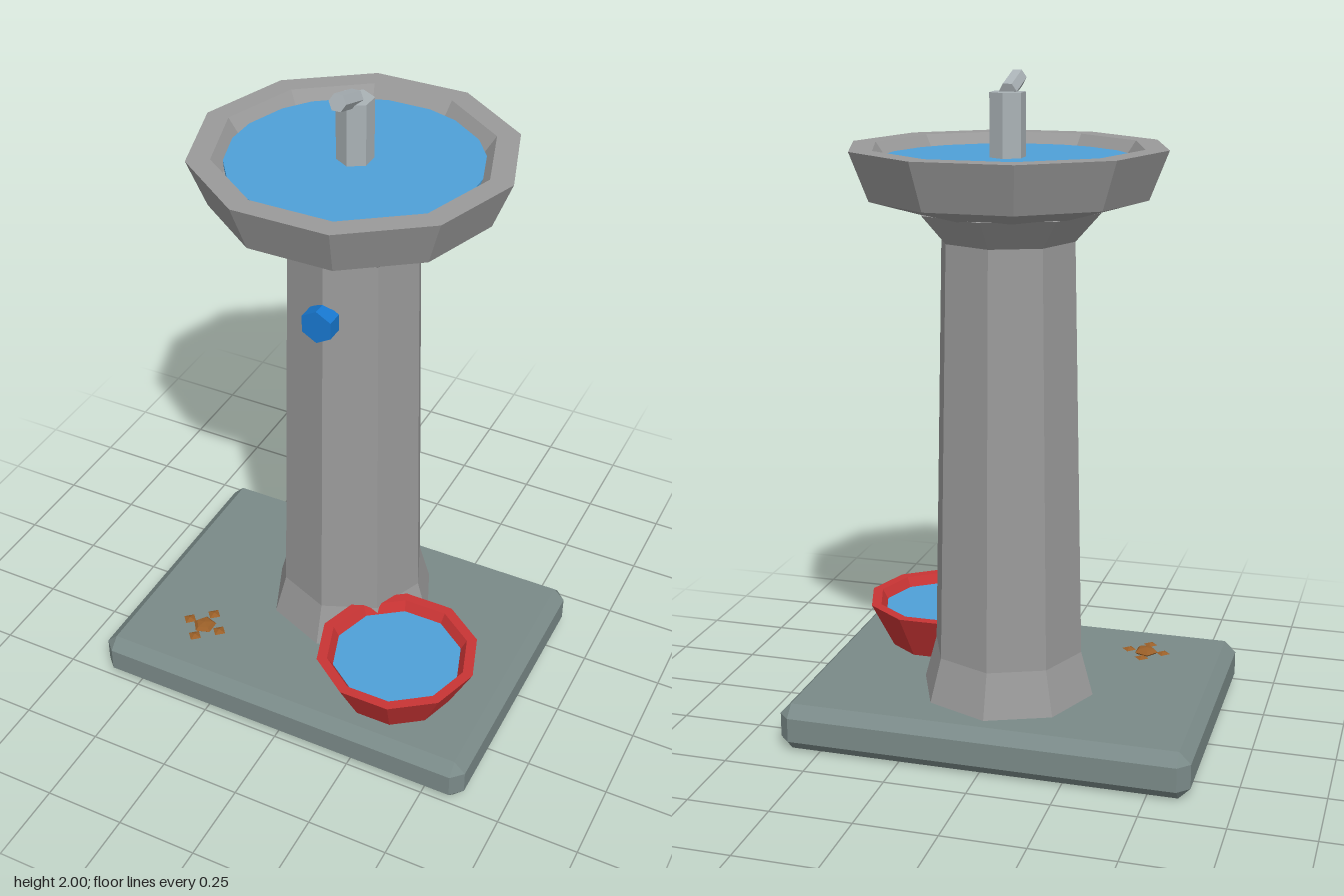
import * as THREE from 'three';
import { ConvexGeometry } from 'three/addons/geometries/ConvexGeometry.js';

const mat = (color) => new THREE.MeshStandardMaterial({ color, flatShading: true });
const stone = mat(0x9a9a9a), slab = mat(0x7a8a88), red = mat(0xc83434), water = mat(0x4fa0d8);
const blue = mat(0x1878d0), metal = mat(0xaab2b6), brown = mat(0x9a5f28);

export function createModel() {
  const group = new THREE.Group();
  const cz = -0.057; // axis of the pillar

  const add = (name, geometry, material, x, y, z) => {
    const mesh = new THREE.Mesh(geometry, material);
    mesh.name = name;
    mesh.position.set(x, y, z);
    group.add(mesh);
    return mesh;
  };
  // Faceted turned shape with a corner on the x axis
  const turned = (profile, sides) =>
    new THREE.LatheGeometry(profile.map(([r, y]) => new THREE.Vector2(r, y)), sides).rotateY(Math.PI / 2);

  // Base slab with every edge chamfered
  const hx = 0.625, hy = 0.0725, hz = 0.45, c = 0.035, corners = [];
  for (const sx of [-1, 1]) for (const sy of [-1, 1]) for (const sz of [-1, 1])
    for (const [a, b, d] of [[0, c, c], [c, 0, c], [c, c, 0]])
      corners.push(new THREE.Vector3(sx * (hx - a), sy * (hy - b), sz * (hz - d)));
  add('baseSlab', new ConvexGeometry(corners), slab, 0, hy, 0.05);

  // Eight-sided pillar with flared foot and capital
  add('pillar', turned([[0, 0.14], [0.267, 0.145], [0.23, 0.28], [0.2, 1.53], [0.275, 1.615], [0, 1.62]], 8),
    stone, 0, 0, cz);

  // Ten-sided basin and its water
  add('basin', turned([[0, 1.6], [0.22, 1.6], [0.41, 1.655], [0.465, 1.795], [0.397, 1.795],
    [0.365, 1.75], [0, 1.74]], 10), stone, 0, 0, cz);
  add('basinWater', new THREE.CylinderGeometry(0.363, 0.363, 0.02, 20).rotateY(Math.PI / 20),
    water, 0, 1.753, cz);

  // Spout: upright post and tilted nozzle
  add('spoutPost', new THREE.CylinderGeometry(0.053, 0.053, 0.2, 6), metal, 0, 1.845, cz);
  const nozzle = new THREE.CylinderGeometry(0.026, 0.026, 0.11, 6).rotateY(Math.PI / 6).rotateX(Math.PI / 2);
  add('spoutNozzle', nozzle, metal, 0, 1.962, -0.002).rotation.x = -0.3;

  // Push button on the front
  add('button', new THREE.CylinderGeometry(0.052, 0.052, 0.052, 6).rotateX(Math.PI / 2), blue, 0, 1.35, 0.16);

  // Pet bowl with water
  add('petBowl', turned([[0, 0.145], [0.177, 0.145], [0.25, 0.29], [0.218, 0.29], [0.19, 0.24], [0, 0.235]], 10),
    red, 0.3, 0, 0.25);
  add('petBowlWater', new THREE.CylinderGeometry(0.2, 0.2, 0.02, 10).rotateY(Math.PI / 2),
    water, 0.3, 0.25, 0.25);

  // Small scrap on the slab: flat centre and four pointed lobes
  add('scrapCentre', new THREE.SphereGeometry(0.038, 5, 4).scale(1, 0.35, 1), brown, -0.36, 0.151, 0.3);
  for (let i = 0; i < 4; i++) {
    const a = i * Math.PI / 2 + 0.06;
    add('scrapLobe', new THREE.OctahedronGeometry(0.023).scale(1, 0.35, 1), brown,
      -0.36 + 0.056 * Math.cos(a), 0.151, 0.3 + 0.056 * Math.sin(a)).rotation.y = -a;
  }
  return group;
}
